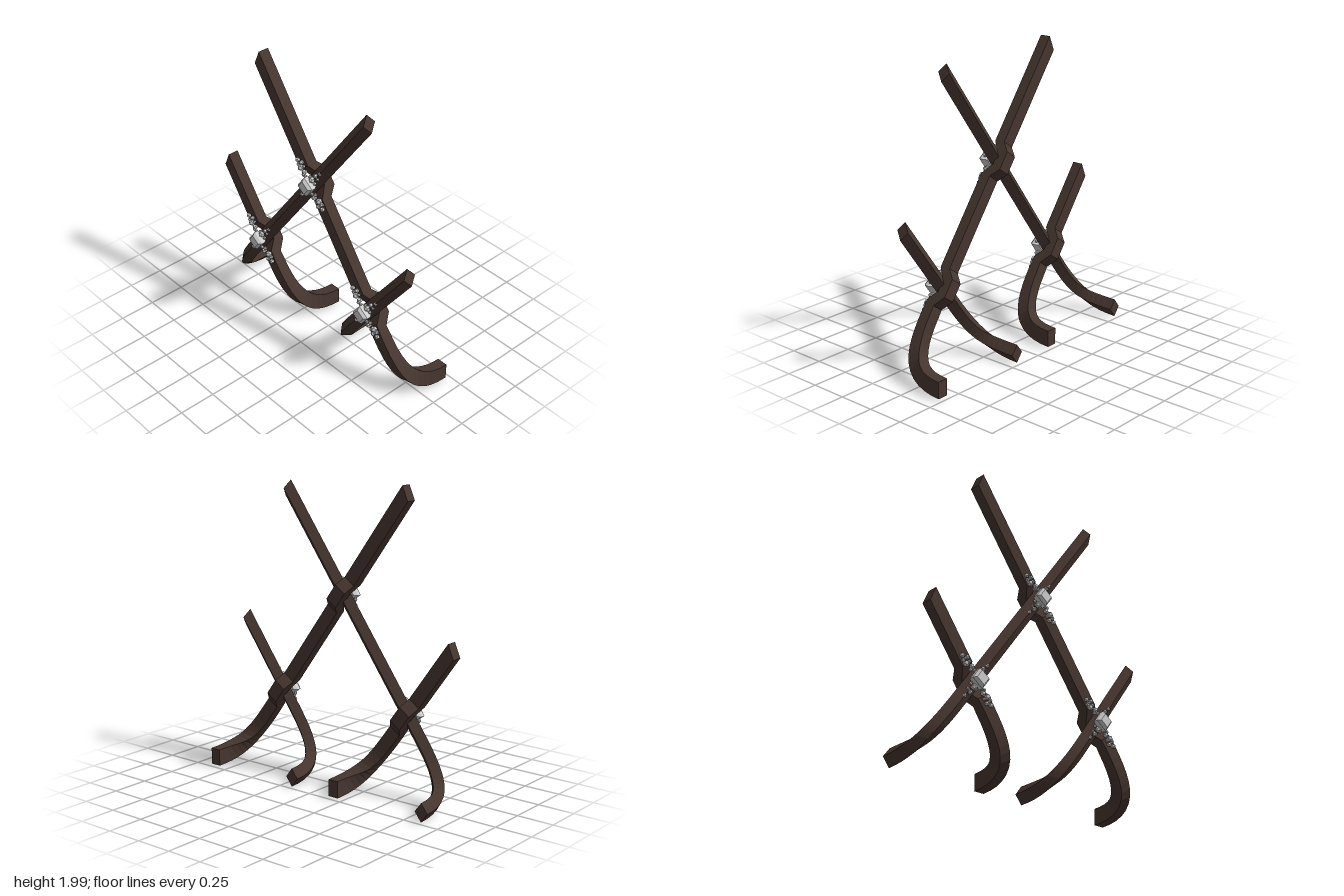
import * as THREE from 'three';

const SLOPE = 1.385; // rise over run of every bar
const LEN = Math.hypot(1, SLOPE);
const MID_Z = 0.108;
const wood = new THREE.MeshStandardMaterial({ color: 0x46352f, flatShading: true });
const stone = new THREE.MeshStandardMaterial({ color: 0xcccccc, flatShading: true });

const boxSection = [[1, 1], [-1, 1], [-1, -1], [1, -1]];
const diamondSection = [[1, 0], [0, 1], [-1, 0], [0, -1]];

// Sweeps a four-sided section down a slanted bar that curls back into a foot.
// dir = 1 slants down to +x, dir = -1 down to -x; (cx, cy) is a point on the bar.
function bar({ name, dir, cx, cy, top, dips = [], section, size, endSize }) {
  const path = [[top, MID_Z]];
  for (const y of dips) path.push([y + 0.095, MID_Z], [y + 0.04, 0.05], [y - 0.04, 0.05], [y - 0.095, MID_Z]);
  const curl = new THREE.CubicBezierCurve(
    new THREE.Vector2(0.4, MID_Z), new THREE.Vector2(0.17, MID_Z),
    new THREE.Vector2(0.075, 0.04), new THREE.Vector2(0.072, -0.22));
  const straightCount = path.length;
  const steps = 12;
  for (let i = 0; i <= steps; i++) {
    const p = curl.getPoint(i / steps);
    path.push([p.x, p.y]);
  }
  const pts = path.map(([y, z]) => new THREE.Vector3(cx + dir * (cy - y) / SLOPE, y, z));
  const down = new THREE.Vector3(dir / LEN, -SLOPE / LEN, 0);
  const side = new THREE.Vector3(SLOPE / LEN, dir / LEN, 0);
  const pos = [];
  const idx = [];
  const last = pts.length - 1;
  pts.forEach((p, i) => {
    // tangent, then a width axis that turns level towards the foot
    const before = pts[Math.max(i - 1, 0)];
    const after = pts[Math.min(i + 1, last)];
    const t = after.clone().sub(before).normalize();
    if (i === last) t.set(0, 0, -1);
    const w = THREE.MathUtils.smoothstep(i - straightCount, 0, steps);
    const n = side.clone().lerp(new THREE.Vector3(1, 0, 0), w);
    n.addScaledVector(t, -n.dot(t)).normalize();
    const b = t.clone().cross(n);
    const hw = THREE.MathUtils.lerp(size[0], endSize[0], w);
    const hd = THREE.MathUtils.lerp(size[1], endSize[1], w);
    for (const [u, v] of section) {
      const q = p.clone().addScaledVector(n, u * hw).addScaledVector(b, v * hd);
      if (i === 0) q.addScaledVector(down, -dir * u * hw * 0.6); // skewed top cut
      pos.push(q.x, q.y, q.z);
    }
  });
  for (let i = 0; i < last; i++) {
    for (let j = 0; j < 4; j++) {
      const a = i * 4 + j, b = i * 4 + (j + 1) % 4;
      idx.push(a, b, b + 4, a, b + 4, a + 4);
    }
  }
  const e = last * 4;
  idx.push(0, 2, 1, 0, 3, 2, e, e + 1, e + 2, e, e + 2, e + 3);
  let geo = new THREE.BufferGeometry();
  geo.setAttribute('position', new THREE.Float32BufferAttribute(pos, 3));
  geo.setIndex(idx);
  geo = geo.toNonIndexed();
  geo.computeVertexNormals();
  const mesh = new THREE.Mesh(geo, wood);
  mesh.name = name;
  return mesh;
}

// Pebbles on one half of a joint: x, y, radius, z; the other half is turned 180 degrees
const pebbles = [
  [-0.115, 0.13, 0.016, 0.155], [-0.078, 0.128, 0.015, 0.155], [-0.085, 0.085, 0.021, 0.155],
  [-0.045, 0.075, 0.018, 0.16], [-0.108, 0.1, 0.013, 0.153], [-0.06, 0.105, 0.012, 0.155],
  [-0.095, 0.113, 0.011, 0.153], [-0.055, 0.05, 0.012, 0.16], [-0.03, 0.052, 0.012, 0.165],
  [0.028, 0.055, 0.02, 0.165], [0.05, 0.088, 0.016, 0.152], [0.085, 0.12, 0.013, 0.148],
  [0.063, 0.068, 0.01, 0.148], [0.008, 0.066, 0.011, 0.16], [0.05, 0.035, 0.012, 0.16],
];

// Large cut stone with pebbles scattered along both bars
function jewelledJoint(x, y) {
  const joint = new THREE.Group();
  joint.name = 'jewelledJoint';
  const profile = [[0, 0.14], [0.045, 0.145], [0.066, 0.168], [0.066, 0.195], [0.046, 0.214], [0, 0.214]]
    .map(([r, h]) => new THREE.Vector2(r, h));
  const gem = new THREE.Mesh(new THREE.LatheGeometry(profile, 4).rotateX(Math.PI / 2), stone);
  gem.rotation.z = THREE.MathUtils.degToRad(9);
  gem.name = 'largeStone';
  joint.add(gem);
  for (const s of [1, -1]) {
    pebbles.forEach(([px, py, r, z], i) => {
      const pebble = new THREE.Mesh(new THREE.DodecahedronGeometry(r), stone);
      pebble.position.set(s * px, s * py, z);
      pebble.rotation.set(i, i * 2, 0);
      pebble.name = 'smallStone';
      joint.add(pebble);
    });
  }
  joint.position.set(x, y, 0);
  return joint;
}

export function createModel() {
  const group = new THREE.Group();
  group.name = 'crossedBarRack';
  const back = { dir: 1, section: boxSection, size: [0.045, 0.037], endSize: [0.037, 0.056] };
  const front = { dir: -1, section: diamondSection, size: [0.05, 0.046], endSize: [0.047, 0.062] };
  const top = [0, 1.26], left = [0.515, 0.545], right = [-0.515, 0.545];

  // Flat bars that bend behind the ridged ones at each crossing
  group.add(bar({ ...back, name: 'longBackBar', cx: 0, cy: 1.26, top: 1.95, dips: [1.26, 0.545] }));
  group.add(bar({ ...back, name: 'shortBackBar', cx: right[0], cy: right[1], top: 1.015, dips: [0.545] }));
  // Ridged bars
  group.add(bar({ ...front, name: 'longFrontBar', cx: 0, cy: 1.26, top: 1.91 }));
  group.add(bar({ ...front, name: 'shortFrontBar', cx: left[0], cy: left[1], top: 1.0 }));

  for (const [x, y] of [top, left, right]) group.add(jewelledJoint(x, y));
  return group;
}
